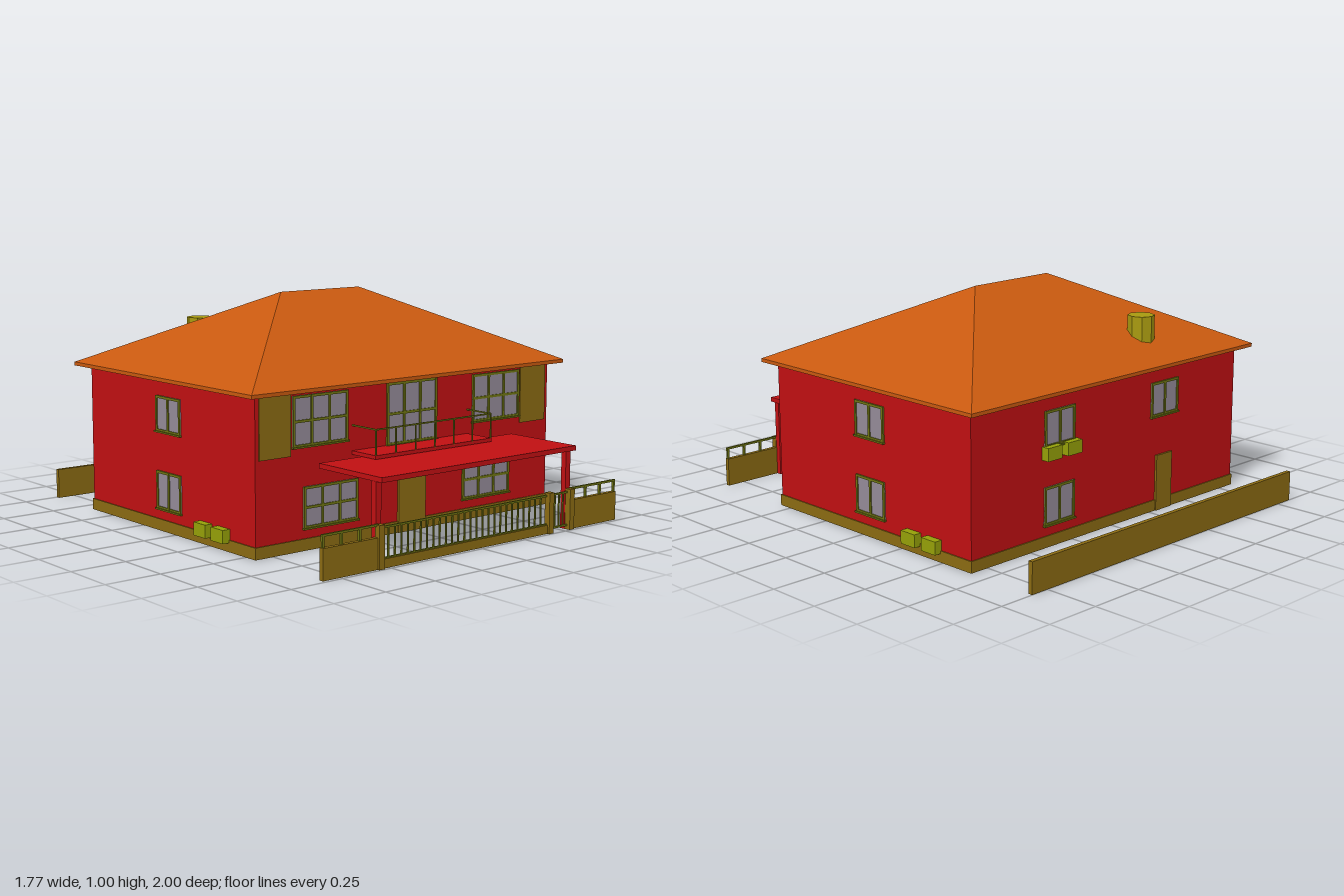
import * as THREE from 'three';

const mat = (color, side = THREE.FrontSide) =>
  new THREE.MeshStandardMaterial({ color, side, flatShading: true });

export function createModel() {
  const house = new THREE.Group();
  house.name = 'house';
  const red = mat(0xc01012);
  const orange = mat(0xc8590f);
  const ochre = mat(0x8a6a12);
  const frameMat = mat(0x6e7412);
  const glass = mat(0x948a98);
  const lime = mat(0x95a008);
  const yellow = mat(0xa89a10);

  const group = (name, parent = house) => {
    const g = new THREE.Group();
    g.name = name;
    parent.add(g);
    return g;
  };
  // Box given by its extents on each axis
  const box = (name, m, x0, x1, y0, y1, z0, z1, parent = house) => {
    const mesh = new THREE.Mesh(new THREE.BoxGeometry(x1 - x0, y1 - y0, z1 - z0), m);
    mesh.position.set((x0 + x1) / 2, (y0 + y1) / 2, (z0 + z1) / 2);
    mesh.name = name;
    parent.add(mesh);
    return mesh;
  };

  const W = 0.835, FRONT = 0.56, BACK = -0.663;
  const midZ = (FRONT + BACK) / 2, D = (FRONT - BACK) / 2;

  // Hollow rectangular shell without floor
  const shell = (name, m, grow, height, thick) => {
    const rect = (Shape, a, b) => new Shape([
      new THREE.Vector2(-a, -b), new THREE.Vector2(a, -b),
      new THREE.Vector2(a, b), new THREE.Vector2(-a, b)]);
    const s = rect(THREE.Shape, W + grow, D + grow);
    s.holes.push(rect(THREE.Path, W + grow - thick, D + grow - thick));
    const g = new THREE.ExtrudeGeometry(s, { depth: height, bevelEnabled: false });
    g.rotateX(-Math.PI / 2);
    const mesh = new THREE.Mesh(g, m);
    mesh.position.z = midZ;
    mesh.name = name;
    house.add(mesh);
  };
  shell('walls', red, 0, 0.665, 0.004);
  shell('plinth', ochre, 0.005, 0.05, 0.005);

  // Hipped roof: eave slab and a box whose top is drawn in to the ridge
  const RX = 0.887, RZ = 0.666, roofZ = -0.056;
  box('eaves', orange, -RX, RX, 0.66, 0.676, roofZ - RZ, roofZ + RZ);
  const hip = new THREE.BoxGeometry(RX * 2, 0.324, RZ * 2).toNonIndexed();
  const p = hip.attributes.position;
  for (let i = 0; i < p.count; i++) {
    if (p.getY(i) > 0) p.setXYZ(i, Math.sign(p.getX(i)) * 0.225, p.getY(i), 0);
  }
  hip.computeVertexNormals();
  const roof = new THREE.Mesh(hip, orange);
  roof.name = 'roof';
  roof.position.set(0, 0.838, roofZ);
  house.add(roof);

  const chimney = new THREE.Mesh(new THREE.CylinderGeometry(0.06, 0.06, 0.16, 8), yellow);
  chimney.name = 'chimney';
  chimney.position.set(-0.335, 0.78, -0.526);
  house.add(chimney);

  // One group per wall: local z points outwards, local x runs along the wall
  const side = (name, x, z, angle) => {
    const g = group(name);
    g.position.set(x, 0, z);
    g.rotation.y = angle;
    return g;
  };
  const front = side('frontWallParts', 0, FRONT, 0);
  const back = side('backWallParts', 0, BACK, Math.PI);
  const right = side('leftWallParts', W, midZ, Math.PI / 2);
  const left = side('rightWallParts', -W, midZ, -Math.PI / 2);

  // Framed window with muntins, seen from inside and outside
  const windowAt = (parent, x0, x1, y0, y1, cols, rows) => {
    const g = group('window', parent);
    const t = 0.011, d = 0.008;
    box('glass', glass, x0, x1, y0, y1, -0.006, 0.003, g);
    for (let i = 0; i <= cols; i++) {
      const x = x0 + t / 2 + (x1 - x0 - t) * i / cols;
      box('frameUpright', frameMat, x - t / 2, x + t / 2, y0, y1, -d, d, g);
    }
    for (let j = 0; j <= rows; j++) {
      const y = y0 + t / 2 + (y1 - y0 - t) * j / rows;
      box('frameRail', frameMat, x0, x1, y - t / 2, y + t / 2, -d, d - 0.0005, g);
    }
    box('sill', frameMat, x0 - 0.004, x1 + 0.004, y0 - 0.004, y0 + 0.003, 0, 0.014, g);
  };
  const coolerAt = (parent, x, y) =>
    box('airConditioner', lime, x - 0.042, x + 0.042, y, y + 0.057, 0, 0.036, parent);

  // Front wall
  for (const s of [-1, 1]) {
    const span = (a, b) => (s > 0 ? [a, b] : [-b, -a]);
    windowAt(front, ...span(0.358, 0.648), 0.433, 0.645, 3, 2);
    windowAt(front, ...span(0.302, 0.592), 0.092, 0.267, 3, 2);
    box('cornerPanel', ochre, ...span(0.657, 0.817), 0.4, 0.657, -0.007, 0.005, front);
  }
  windowAt(front, -0.143, 0.143, 0.385, 0.653, 3, 2);
  box('frontDoor', ochre, -0.078, 0.078, 0, 0.267, -0.008, 0.01, front);

  // Side walls, the second one being the first turned half round
  for (const wall of [right, left]) {
    windowAt(wall, -0.087, 0.095, 0.433, 0.588, 2, 1);
    windowAt(wall, -0.087, 0.095, 0.096, 0.262, 2, 1);
    for (const x of [0.271, 0.395]) coolerAt(wall, x, 0.038);
  }

  // Back wall
  windowAt(back, -0.42, -0.24, 0.433, 0.588, 2, 1);
  windowAt(back, -0.42, -0.24, 0.096, 0.262, 2, 1);
  windowAt(back, 0.25, 0.43, 0.433, 0.588, 2, 1);
  box('backDoor', ochre, 0.288, 0.392, 0, 0.255, -0.008, 0.01, back);
  for (const x of [-0.39, -0.27]) coolerAt(back, x, 0.383);

  // Porch
  box('porchRoof', red, -0.553, 0.553, 0.347, 0.368, 0.615, 1);
  for (const x of [-0.541, 0.541])
    box('porchPost', red, x - 0.014, x + 0.014, 0, 0.348, 0.942, 0.968);

  // Balcony
  const balcony = group('balcony');
  box('balconyFloor', red, -0.332, 0.332, 0.37, 0.386, FRONT, 0.71, balcony);
  const r = 0.005;
  for (let i = 0; i <= 6; i++) {
    const x = -0.329 + 0.658 * i / 6;
    box('balconyBar', frameMat, x - r / 2, x + r / 2, 0.38, 0.495, 0.705, 0.71, balcony);
  }
  box('balconyRail', frameMat, -0.332, 0.332, 0.49, 0.496, 0.704, 0.71, balcony);
  for (const x of [-0.329, 0.329])
    box('balconySideRail', frameMat, x - r / 2, x + r / 2, 0.49, 0.496, FRONT, 0.71, balcony);

  // Front fence
  const fence = group('frontFence');
  const Z0 = 0.966, Z1 = 0.986, zc = 0.976;
  for (const s of [-1, 1]) {
    const part = (name, m, a, b, y0, y1, z0, z1) =>
      box(name, m, s > 0 ? a : -b, s > 0 ? b : -a, y0, y1, z0, z1, fence);
    part('fencePanel', ochre, 0.55, 0.835, 0, 0.128, Z0, Z1);
    part('fenceRail', frameMat, 0.55, 0.835, 0.172, 0.181, zc - 0.005, zc + 0.005);
    for (const x of [0.645, 0.737, 0.829])
      part('fenceStub', frameMat, x - 0.005, x + 0.005, 0.128, 0.175, zc - 0.005, zc + 0.005);
  }
  for (const x of [-0.545, 0.415, 0.543])
    box('gatePost', ochre, x - 0.014, x + 0.014, 0, 0.178, 0.968, 0.996, fence);
  // Run of upright bars between two rails
  const bars = (x0, x1, n, low) => {
    box('topRail', frameMat, x0, x1, 0.16, 0.168, zc - 0.004, zc + 0.004, fence);
    box('bottomRail', frameMat, x0, x1, low, low + 0.008, zc - 0.004, zc + 0.004, fence);
    for (let i = 1; i < n; i++) {
      const x = x0 + (x1 - x0) * i / n;
      box('fenceBar', frameMat, x - 0.003, x + 0.003, low, 0.166, zc - 0.003, zc + 0.003, fence);
    }
  };
  bars(-0.531, 0.401, 27, 0.035);
  box('fenceBase', ochre, -0.531, 0.401, 0, 0.038, Z0, Z1, fence);
  bars(0.429, 0.529, 4, 0.015);

  // Back fence
  box('backFence', ochre, -0.835, 0.835, 0, 0.135, -1, -0.98);

  return house;
}
